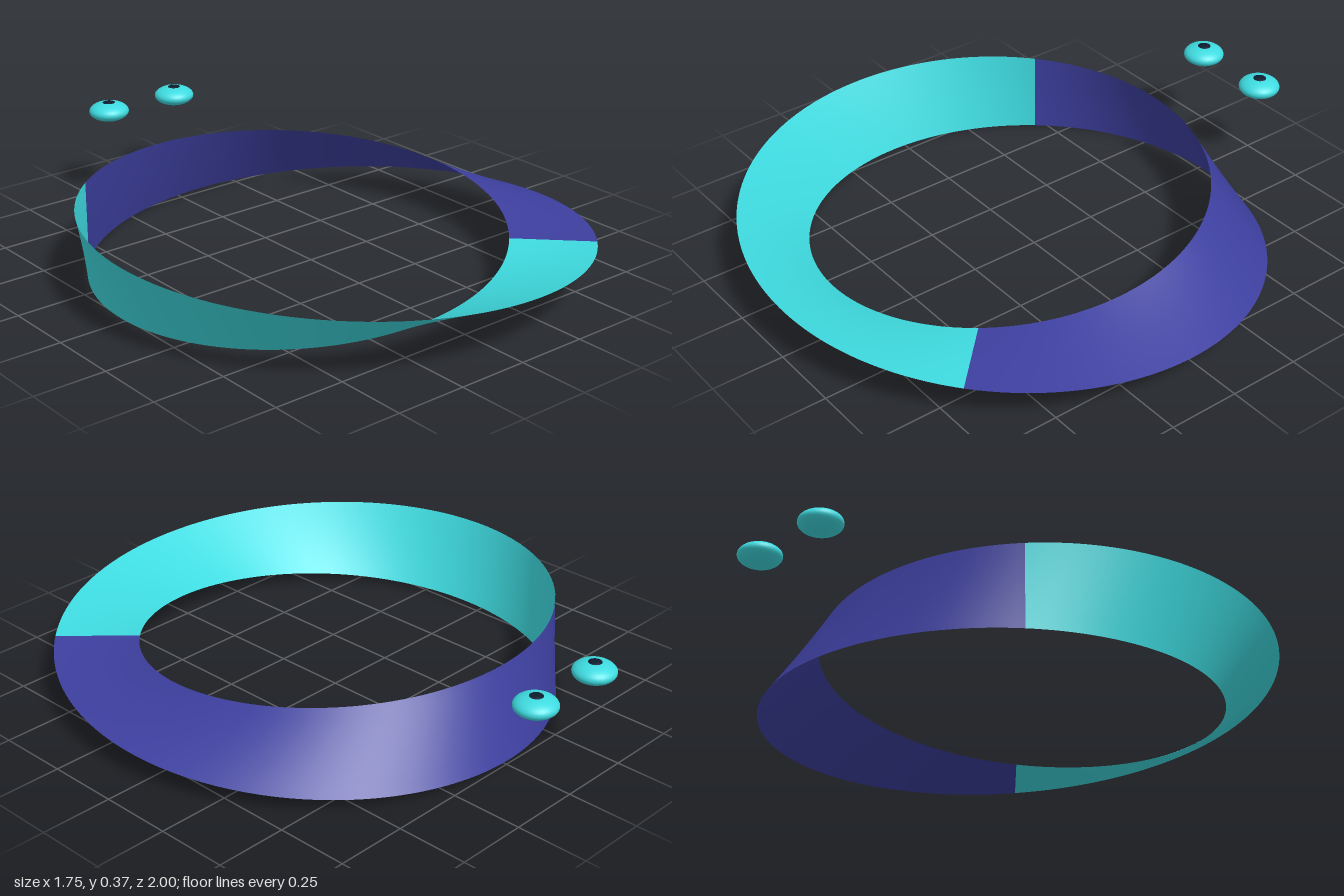
import * as THREE from 'three';

const RADIUS = 0.778, HALF_WIDTH = 0.144;
const CENTER = new THREE.Vector3(-0.042, 0.145, 0.085);
const FLAT_ANGLE = Math.PI / 4; // where the band lies flat

// Half of a band that makes one half twist per turn, starting at turn angle `start`
function bandHalf(start, material, name) {
  const geometry = new THREE.PlaneGeometry(1, 1, 120, 8);
  const position = geometry.attributes.position;
  for (let i = 0; i < position.count; i++) {
    const turn = start + (position.getX(i) + 0.5) * Math.PI;
    const across = position.getY(i) * 2 * HALF_WIDTH;
    const angle = FLAT_ANGLE + turn, tilt = turn / 2;
    const r = RADIUS + across * Math.cos(tilt);
    position.setXYZ(i,
      CENTER.x + r * Math.cos(angle),
      CENTER.y + across * Math.sin(tilt),
      CENTER.z + r * Math.sin(angle));
  }
  geometry.computeVertexNormals();
  const mesh = new THREE.Mesh(geometry, material);
  mesh.name = name;
  return mesh;
}

// Flattened ball
function disc(radius, halfHeight, y, material, name) {
  const mesh = new THREE.Mesh(new THREE.SphereGeometry(1, 32, 20), material);
  mesh.scale.set(radius, halfHeight, radius);
  mesh.position.y = y;
  mesh.name = name;
  return mesh;
}

export function createModel() {
  const turquoise = new THREE.MeshStandardMaterial({ color: 0x3edbe0, side: THREE.DoubleSide });
  turquoise.name = 'turquoise';
  const indigo = new THREE.MeshStandardMaterial({ color: 0x3d3f9f, side: THREE.DoubleSide });
  indigo.name = 'indigo';
  const darkNavy = new THREE.MeshStandardMaterial({ color: 0x0c1c2e });
  darkNavy.name = 'darkNavy';

  const model = new THREE.Group();
  model.name = 'twistedRing';

  // Twisted band in two colours
  model.add(bandHalf(0, turquoise, 'turquoiseBand'));
  model.add(bandHalf(Math.PI, indigo, 'indigoBand'));

  // Eyes hovering behind the band, looking up
  for (const [x, name] of [[-0.187, 'rightEye'], [0.103, 'leftEye']]) {
    const eye = new THREE.Group();
    eye.name = name;
    eye.position.set(x, 0.332, -0.928);
    eye.add(disc(0.072, 0.034, 0, turquoise, 'eyeball'));
    eye.add(disc(0.031, 0.015, 0.022, darkNavy, 'pupil'));
    model.add(eye);
  }
  return model;
}
